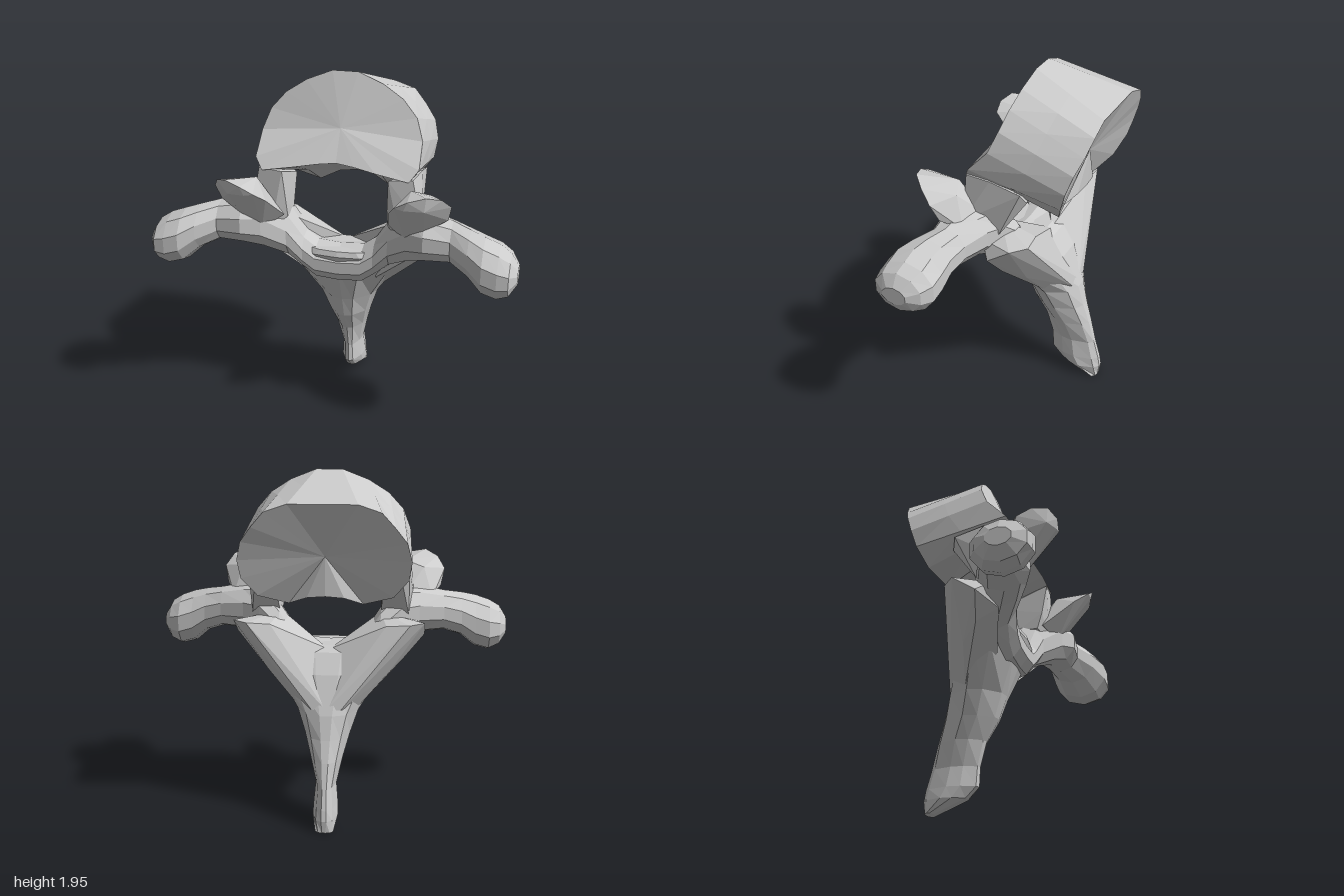
import * as THREE from 'three';
import { ConvexGeometry } from 'three/addons/geometries/ConvexGeometry.js';

// Skin between rings of [x, y, z] points, capped with fans; dish pushes the end caps along z
function loft(rings, dish = [0, 0]) {
  const n = rings[0].length, pos = rings.flat(2), idx = [];
  for (let r = 0; r < rings.length - 1; r++) {
    for (let i = 0; i < n; i++) {
      const a = r * n + i, b = r * n + (i + 1) % n;
      idx.push(a, b, a + n, b, b + n, a + n);
    }
  }
  [0, rings.length - 1].forEach((r, end) => {
    const c = [0, 1, 2].map(k => rings[r].reduce((s, p) => s + p[k], 0) / n);
    c[2] += dish[end];
    const m = pos.length / 3;
    pos.push(...c);
    for (let i = 0; i < n; i++) {
      const a = r * n + i, b = r * n + (i + 1) % n;
      if (end) idx.push(a, b, m); else idx.push(b, a, m);
    }
  });
  // Turn the faces outward when the enclosed volume comes out negative
  const v = i => new THREE.Vector3().fromArray(pos, i * 3);
  let volume = 0;
  for (let i = 0; i < idx.length; i += 3) volume += v(idx[i]).dot(v(idx[i + 1]).cross(v(idx[i + 2])));
  if (volume < 0) idx.reverse();
  const g = new THREE.BufferGeometry();
  g.setAttribute('position', new THREE.Float32BufferAttribute(pos, 3));
  g.setIndex(idx);
  const flat = g.toNonIndexed();
  flat.computeVertexNormals();
  return flat;
}

const hull = (points, side) =>
  new ConvexGeometry(points.map(([x, y, z]) => new THREE.Vector3(x * side, y, z)));

// Complete a half outline (first and last point on the midline)
const mirrorRing = half =>
  [...half, ...half.slice(1, -1).reverse().map(([x, y, z]) => [-x, y, z])];

// Straight-line lookup in a falling table of [y, z]
function zAt(table, y) {
  const i = Math.max(1, table.findIndex(row => y >= row[0]));
  const [y0, z0] = table[i - 1], [y1, z1] = table[i];
  return z0 + (z1 - z0) * (y - y0) / (y1 - y0);
}

export function createModel() {
  const group = new THREE.Group();
  const bone = new THREE.MeshStandardMaterial({ color: 0xcccccc });
  bone.name = 'bone grey';
  bone.flatShading = true;
  const add = (name, geometry) => {
    const mesh = new THREE.Mesh(geometry, bone);
    mesh.name = name;
    group.add(mesh);
  };

  // Vertebral body: a tilted drum between two slanting end plates
  const frontZ = [[1.945, -0.03], [1.75, 0.01], [1.6, 0.07], [1.55, 0.11], [1.48, 0.2], [1.42, 0.22]];
  const backZ = [[1.8, -0.455], [1.74, -0.46], [1.55, -0.39], [1.4, -0.345], [1.3, -0.3], [1.25, -0.24]];
  const front = [[0, 1.945], [0.07, 1.945], [0.21, 1.89], [0.32, 1.82], [0.4, 1.73], [0.44, 1.62],
    [0.445, 1.5], [0.4, 1.44], [0.22, 1.47], [0.1, 1.49], [0, 1.5]].map(([x, y]) => [x, y, zAt(frontZ, y)]);
  const back = [[0, 1.8], [0.18, 1.8], [0.3, 1.76], [0.37, 1.68], [0.43, 1.6], [0.455, 1.5],
    [0.44, 1.4], [0.36, 1.3], [0.2, 1.25], [0.1, 1.29], [0, 1.3]].map(([x, y]) => [x, y, zAt(backZ, y)]);
  const middle = front.map((p, i) => p.map((c, k) => (c + back[i][k]) / 2 + (k === 1 && i > 6 ? 0.02 : 0)));
  add('vertebralBody', loft([front, middle, back].map(mirrorRing), [-0.01, 0.06]));

  // Rear spine: narrow and swept back below, flaring into the arch
  // Each row: y, front z, back z, half width
  const spine = [[0, -0.36, -0.41, 0.05], [0.07, -0.17, -0.42, 0.07], [0.13, -0.11, -0.41, 0.068],
    [0.24, -0.105, -0.38, 0.058], [0.38, -0.07, -0.345, 0.09], [0.5, 0, -0.31, 0.125],
    [0.63, 0.045, -0.28, 0.17], [0.84, 0.13, -0.2, 0.31], [0.95, 0.17, -0.13, 0.36], [0.98, 0.16, -0.08, 0.3]];
  add('rearSpine', loft(spine.map(([y, zf, zb, w]) => {
    const d = zf - zb;
    return mirrorRing([[0, y, zf], [w * 0.35, y, zf - d * 0.04], [w * 0.85, y, zf - d * 0.3],
      [w, y, zf - d * 0.55], [w * 0.65, y, zf - d * 0.9], [w * 0.2, y, zb], [0, y, zb]]);
  })));

  // Arch and side wing sections from the midline out: x, centre y, centre z, radius y, radius z
  const wing = [[0, 0.88, 0.05, 0.11, 0.12], [0.13, 0.89, 0.05, 0.11, 0.12], [0.2, 0.94, 0.05, 0.11, 0.12],
    [0.285, 1.04, 0.06, 0.14, 0.13], [0.4, 1.13, 0.13, 0.16, 0.15], [0.5, 1.145, 0.18, 0.135, 0.15],
    [0.64, 1.135, 0.2, 0.115, 0.115], [0.74, 1.105, 0.25, 0.125, 0.14], [0.82, 1.06, 0.28, 0.15, 0.165],
    [0.9, 1.035, 0.285, 0.147, 0.165], [0.96, 1.03, 0.3, 0.115, 0.14], [1, 1.03, 0.3, 0.05, 0.07]];

  for (const [label, s] of [['left', 1], ['right', -1]]) {
    add(label + 'ArchAndWing', loft(wing.map(([x, cy, cz, ry, rz]) =>
      Array.from({ length: 10 }, (_, i) => {
        const a = (i / 10 + 0.05) * Math.PI * 2;
        return [x * s, cy + Math.sin(a) * ry, cz + Math.cos(a) * rz];
      }))));

    // Pedicle joining the body to the arch
    add(label + 'Pedicle', hull([[0.29, 1.44, 0.21], [0.42, 1.45, 0.2], [0.445, 1.46, 0.05],
      [0.44, 1.42, -0.12], [0.4, 1.36, -0.14], [0.3, 1.33, -0.1], [0.28, 1.26, 0.18],
      [0.28, 1.16, 0.15], [0.285, 1.16, 0.02], [0.44, 1.14, 0.01], [0.47, 1.2, 0.2], [0.36, 1.1, 0.2]], s));

    // Lamina shield with the lower joint surface behind
    add(label + 'Lamina', hull([[0, 0.96, -0.09], [0, 0.66, -0.265], [0.08, 0.66, -0.26],
      [0.17, 0.65, -0.14], [0.22, 1.04, -0.1], [0.32, 1.11, -0.15], [0.45, 1.12, -0.17],
      [0.53, 1.12, -0.1], [0.53, 1.03, 0.03], [0.42, 0.9, 0], [0.33, 0.83, -0.1],
      [0.15, 0.85, -0.19], [0.28, 1.14, 0.08], [0.45, 1.1, 0.1], [0.4, 0.97, 0.12], [0.2, 0.8, 0.05]], s));

    // Upper joint: a flared lip leaning forward
    add(label + 'UpperJoint', hull([[0.37, 1.39, 0.45], [0.44, 1.43, 0.46], [0.53, 1.45, 0.43],
      [0.6, 1.42, 0.36], [0.64, 1.36, 0.29], [0.62, 1.27, 0.25], [0.42, 1.38, 0.45], [0.52, 1.37, 0.42],
      [0.5, 1.22, 0.3], [0.36, 1.22, 0.29], [0.33, 1.33, 0.37], [0.42, 1.41, 0.24], [0.52, 1.38, 0.2],
      [0.57, 1.22, 0.14], [0.42, 1.25, 0.1], [0.29, 1.18, 0.18], [0.4, 1.12, 0.24]], s));
  }
  return group;
}
